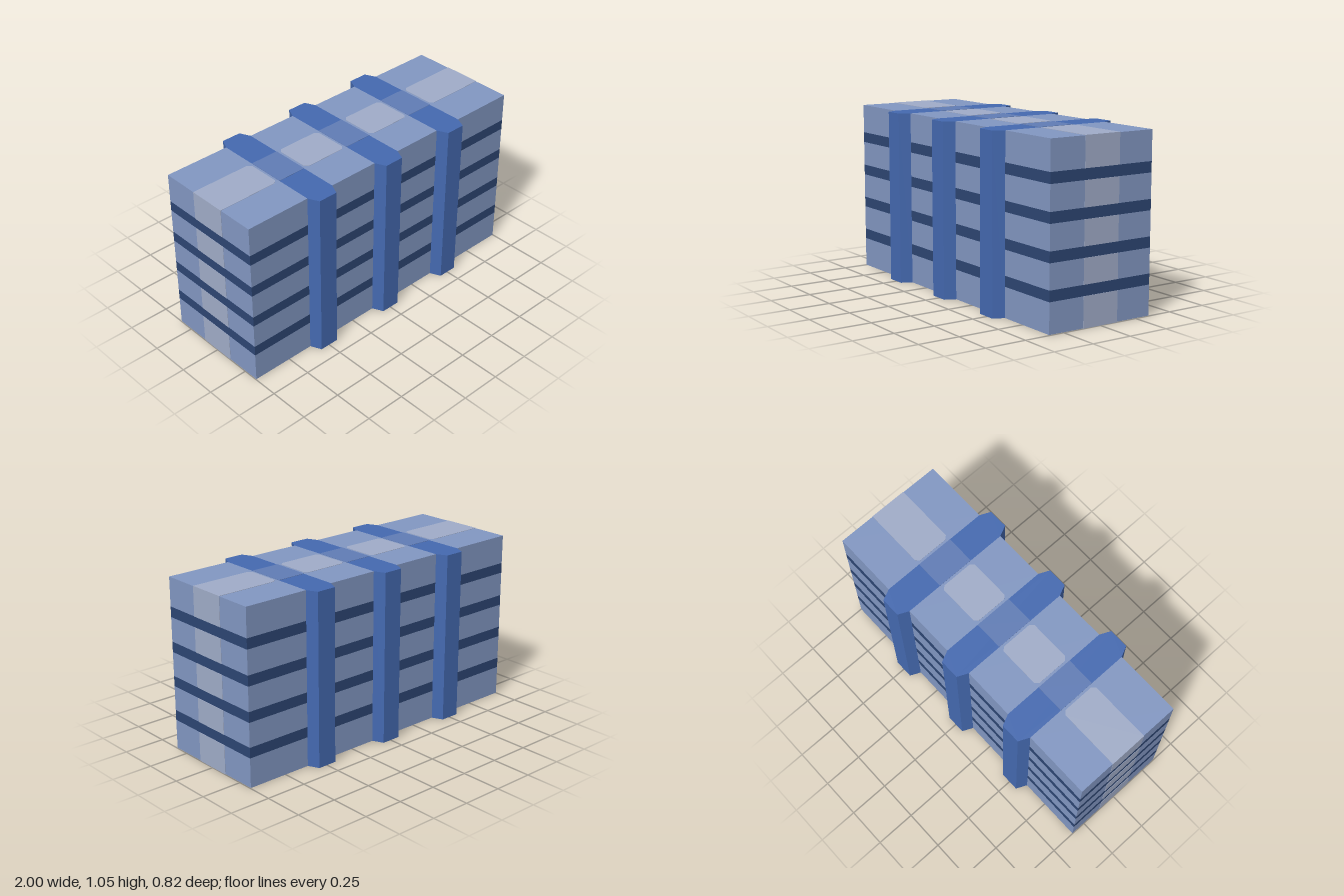
import * as THREE from 'three';

const H = 1.05, D = 0.345, E = 0.002; // height, half depth, plate thickness
const BAND = 0.117;                   // half width of the pale centre band
const COLUMNS = [-0.5, 0, 0.5];
const STRIPES = [0.18, 0.39, 0.6, 0.81], STRIPE_H = 0.063;

const mat = (name, color) => {
  const m = new THREE.MeshStandardMaterial({ color });
  m.name = name;
  return m;
};

export function createModel() {
  const root = new THREE.Group();
  root.name = 'ribbedBlock';
  const body = mat('softBlue', 0x8297c2);
  const pale = mat('paleBlue', 0xa0acc8);
  const navy = mat('navy', 0x2d4673);
  const blue = mat('columnBlue', 0x4469b0);
  const faded = mat('fadedColumnBlue', 0x607cb5);

  const add = (name, geometry, material) => {
    const mesh = new THREE.Mesh(geometry, material);
    mesh.name = name;
    root.add(mesh);
    return mesh;
  };
  // Box given by its two extreme corners
  const box = (name, x0, x1, y0, y1, z0, z1, material) => {
    const mesh = add(name, new THREE.BoxGeometry(x1 - x0, y1 - y0, z1 - z0), material);
    mesh.position.set((x0 + x1) / 2, (y0 + y1) / 2, (z0 + z1) / 2);
  };
  // Upright prism from a plan outline of [x, z] points
  const prism = (name, points, y0, y1, material) => {
    const shape = new THREE.Shape(points.map(([x, z]) => new THREE.Vector2(x, -z)));
    const g = new THREE.ExtrudeGeometry(shape, { depth: y1 - y0, bevelEnabled: false });
    g.rotateX(-Math.PI / 2).translate(0, y0, 0);
    return add(name, g, material);
  };

  // Layer heights: plain courses with stripes between them
  const courses = [], stripes = [];
  let y = E;
  for (const s of STRIPES) {
    courses.push([y, s]);
    stripes.push([s, s + STRIPE_H]);
    y = s + STRIPE_H;
  }
  courses.push([y, H - E]);

  // Body bays between the columns
  const bays = [[-1 + E, -0.59], [-0.41, -0.09], [0.09, 0.41], [0.59, 1 - E]];
  for (const [x0, x1] of bays) {
    for (const [a, b] of courses) box('bodyCourse', x0, x1, a, b, -D, D, body);
    for (const [a, b] of stripes) box('stripe', x0, x1, a, b, -D, D, navy);

    // Pale panels on top and bottom, with cut corners beside the columns
    const left = x0 < -0.9, right = x1 > 0.9;
    const l = left ? -1 : x0 + 0.015, r = right ? 1 : x1 - 0.015;
    const cl = left ? 0 : 0.02, cr = right ? 0 : 0.02;
    const outline = [[l + cl, BAND], [r - cr, BAND]];
    if (cr) outline.push([r, BAND - cr], [r, -BAND + cr]);
    outline.push([r - cr, -BAND], [l + cl, -BAND]);
    if (cl) outline.push([l, -BAND + cl], [l, BAND - cl]);
    prism('topPanel', outline, H - E, H, pale);
    prism('bottomPanel', outline, 0, E, pale);
  }

  // Pale panels on both ends, one per course
  for (const [a, b] of courses) {
    box('leftEndPanel', 1 - E, 1, a, b, -BAND, BAND, pale);
    box('rightEndPanel', -1, -1 + E, a, b, -BAND, BAND, pale);
  }

  // Columns run through the body, with bevelled front and back edges
  const plan = [
    [-0.09, D], [-0.06, 0.41], [0.06, 0.41], [0.09, D],
    [0.09, -D], [0.06, -0.41], [-0.06, -0.41], [-0.09, -D],
  ];
  for (const x of COLUMNS) {
    prism('column', plan, E, H - E, blue).position.x = x;
    box('columnTopPatch', x - 0.09, x + 0.09, H - E, H, -BAND, BAND, faded);
    box('columnBottomPatch', x - 0.09, x + 0.09, 0, E, -BAND, BAND, faded);
  }
  return root;
}
